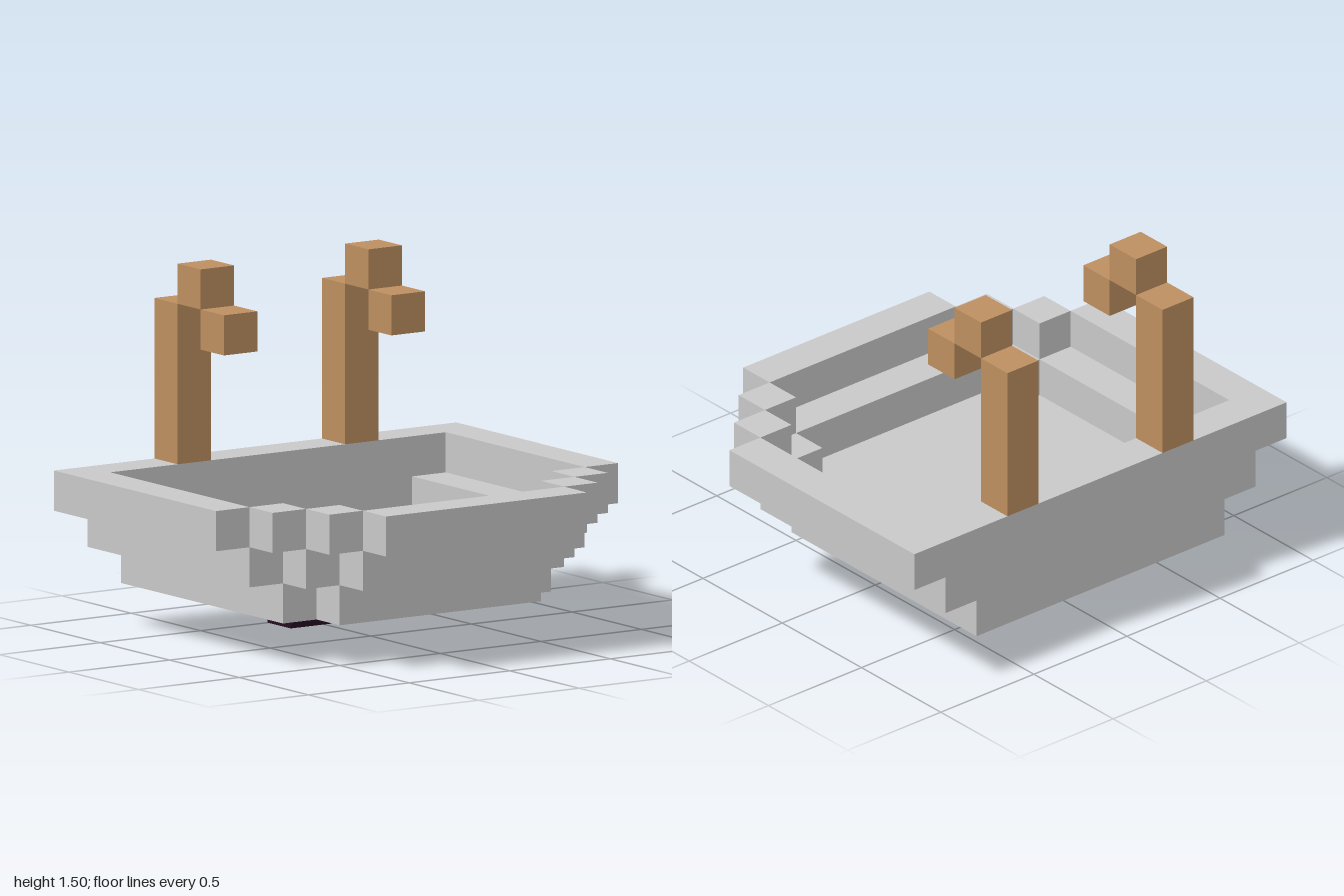
import * as THREE from 'three';

const U = 1 / 6; // size of one cube

const stone = new THREE.MeshStandardMaterial({ color: 0xc8c8c8 });
stone.name = 'stone grey';
const copper = new THREE.MeshStandardMaterial({ color: 0xbd8f60 });
copper.name = 'copper';
const dark = new THREE.MeshStandardMaterial({ color: 0x240e22 });
dark.name = 'dark drain';

// Box given by its limits, counted in cubes
function block(parent, name, material, [x0, x1], [y0, y1], [z0, z1]) {
  const geometry = new THREE.BoxGeometry((x1 - x0) * U, (y1 - y0) * U, (z1 - z0) * U);
  const mesh = new THREE.Mesh(geometry, material);
  mesh.position.set((x0 + x1) / 2 * U, (y0 + y1) / 2 * U, (z0 + z1) / 2 * U);
  mesh.name = name;
  parent.add(mesh);
}

// One wall course: back, sides, stepped front corners and front
function wallCourse(name, y, half) {
  const course = new THREE.Group();
  course.name = name;
  const ys = [y, y + 1];
  block(course, 'backWall', stone, [-half, half], ys, [-5, -4]);
  for (const s of [-1, 1]) {
    const span = (a, b) => (s > 0 ? [a, b] : [-b, -a]);
    block(course, 'sideWall', stone, span(half - 1, half), ys, [-4, 2]);
    for (let x = half - 2, z = 2; x >= 3; x--, z++) {
      block(course, 'cornerStep', stone, span(x, x + 1), ys, [z, z + 1]);
    }
  }
  block(course, 'frontWall', stone, [-3, 3], ys, [half - 2, half - 1]);
  return course;
}

// Floor slab with a drain opening
function basinFloor() {
  const points = (list) => list.map(([x, z]) => new THREE.Vector2(x * U, -z * U));
  const shape = new THREE.Shape(points([[-4, -5], [-4, 2], [-3, 2], [-3, 3], [3, 3], [3, 2], [4, 2], [4, -5]]));
  shape.holes.push(new THREE.Path(points([[-1, -3], [1, -3], [1, -2], [-1, -2]])));
  const geometry = new THREE.ExtrudeGeometry(shape, { depth: U, bevelEnabled: false });
  geometry.rotateX(-Math.PI / 2);
  const mesh = new THREE.Mesh(geometry, stone);
  mesh.position.y = U;
  mesh.name = 'basinFloor';
  return mesh;
}

// Tall tap with a stepped spout
function tap(name, x) {
  const group = new THREE.Group();
  group.name = name;
  const xs = [x - 0.5, x + 0.5];
  block(group, 'tapPost', copper, xs, [4, 8], [-5, -4]);
  block(group, 'tapTop', copper, xs, [8, 9], [-4, -3]);
  block(group, 'tapSpout', copper, xs, [7, 8], [-3, -2]);
  return group;
}

export function createModel() {
  const model = new THREE.Group();
  model.name = 'washBasin';
  model.add(basinFloor(), wallCourse('lowerWall', 2, 5), wallCourse('upperRim', 3, 6));
  model.add(tap('leftTap', 2.5), tap('rightTap', -2.5));
  block(model, 'drain', dark, [-1, 1], [0, 1], [-3, -2]);
  return model;
}
